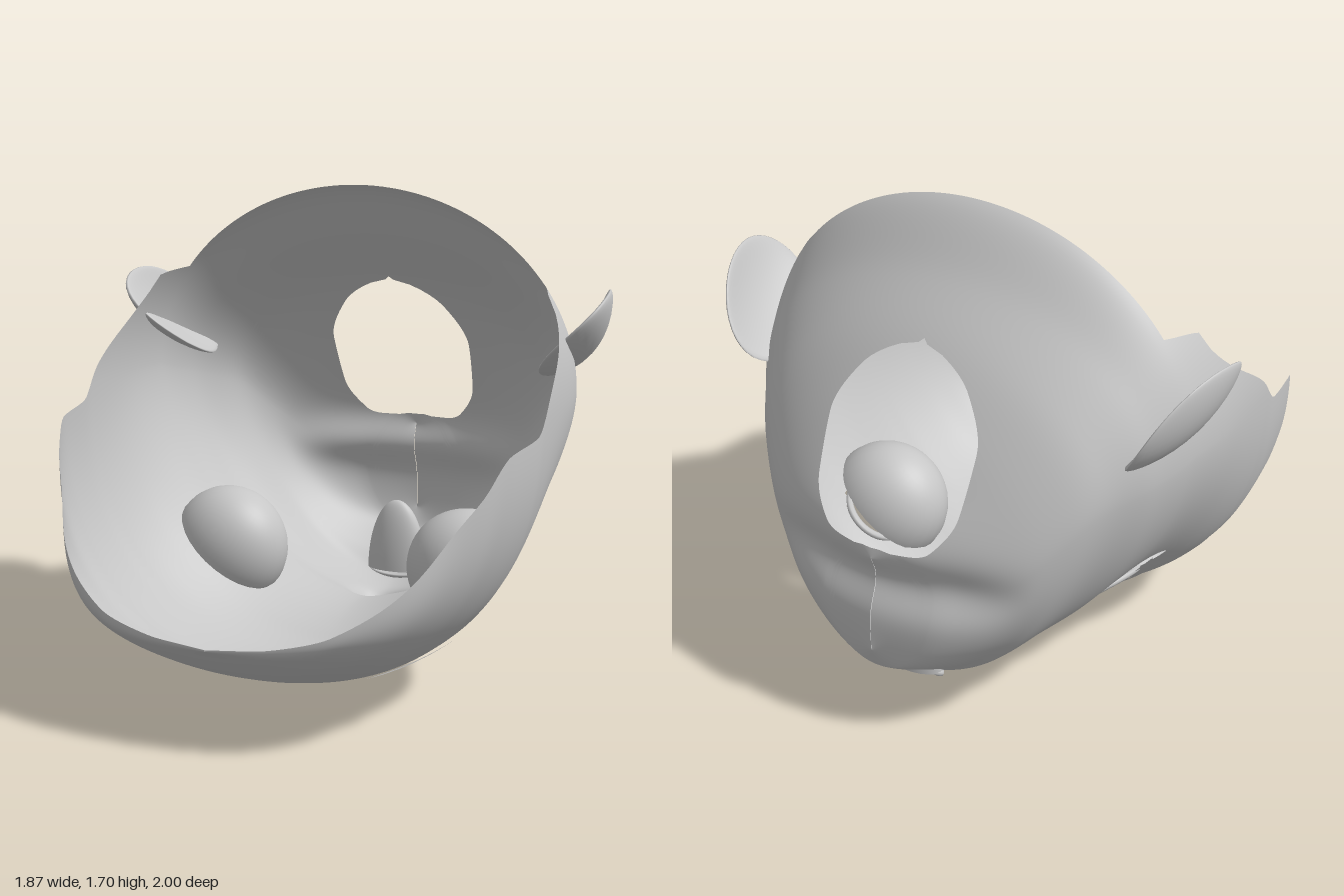
import * as THREE from 'three';

const skin = new THREE.MeshStandardMaterial({ color: 0xc6c6c6, side: THREE.DoubleSide });
skin.name = 'plain grey';

// Smooth profile through knots that run from low z to high z, without overshoot
function profile(...k) {
  const n = k.length - 1;
  const step = (i) => (k[i + 1][1] - k[i][1]) / (k[i + 1][0] - k[i][0]);
  const slope = k.map((_, i) => {
    if (i === 0) return step(0);
    if (i === n) return step(n - 1);
    const a = step(i - 1), b = step(i);
    return a * b <= 0 ? 0 : 2 * a * b / (a + b);
  });
  return (z) => {
    if (z <= k[0][0]) return k[0][1];
    if (z >= k[n][0]) return k[n][1];
    let i = 0;
    while (z > k[i + 1][0]) i++;
    const h = k[i + 1][0] - k[i][0], t = (z - k[i][0]) / h, u = 1 - t;
    return u * u * (1 + 2 * t) * k[i][1] + t * t * (3 - 2 * t) * k[i + 1][1]
      + h * t * u * (u * slope[i] - t * slope[i + 1]);
  };
}
const halfWidth = profile([-1, 0.001], [-0.995, 0.09], [-0.97, 0.22], [-0.87, 0.44], [-0.73, 0.6], [-0.62, 0.68], [-0.5, 0.76],
  [-0.34, 0.82], [-0.16, 0.845], [0.1, 0.85], [0.4, 0.82], [0.52, 0.78], [0.65, 0.7], [0.8, 0.6], [0.94, 0.4], [0.985, 0.2], [1, 0.001]);
const bottom = profile([-1, 0.35], [-0.98, 0.28], [-0.9, 0.23], [-0.8, 0.17], [-0.74, 0.12], [-0.65, 0.1], [-0.52, 0.11],
  [-0.4, 0.14], [-0.3, 0.145], [-0.2, 0.13], [-0.1, 0.1], [0, 0.065], [0.1, 0.05], [0.33, 0.06], [0.6, 0.13], [0.8, 0.22], [1, 0.355]);
const top = profile([-1, 0.7], [-0.985, 0.74], [-0.93, 0.84], [-0.85, 0.98], [-0.77, 1.13], [-0.65, 1.32], [-0.5, 1.5], [-0.335, 1.705], [0, 1.85]);
const rim = profile([-0.34, 1.38], [-0.2, 1.36], [-0.17, 1.29], [0.12, 1.06], [0.23, 0.95], [0.43, 0.93], [0.57, 0.8],
  [0.8, 0.57], [0.94, 0.43], [1, 0.36]);
const backMiddle = profile([-1, 0.52], [-0.95, 0.56], [-0.8, 0.75], [-0.65, 0.9], [-0.34, 1]);
const seam = -0.335;
const middle = (z) => (z < seam ? backMiddle(z) : Math.min(1, rim(z)));
const neckHole = profile([-0.985, 0], [-0.98, 0.07], [-0.94, 0.2], [-0.87, 0.27], [-0.78, 0.28], [-0.7, 0.2], [-0.655, 0.07], [-0.645, 0]);
// Roundness of the face side: full forehead, leaner around eyes and muzzle
const lean = profile([-0.95, 1], [-0.6, 1.18], [-0.3, 1.15], [0.15, 0.9]);

// Point on the head at section z; angle 0 is the face side, PI the back of the head
function point(a, z) {
  z = THREE.MathUtils.clamp(z, -1, 1);
  const s = Math.sin(a), c = Math.cos(a), m = middle(z), p = c > 0 ? lean(z) : 1;
  const x = halfWidth(z) * Math.sign(s) * Math.abs(s) ** p;
  let y = c > 0 ? m - (m - bottom(z)) * c ** p : m - (top(z) - m) * c;
  // Pointed nose
  if (c > 0) y -= 0.11 * Math.exp(-((x / 0.06) ** 2) - ((z + 0.52) / 0.065) ** 2);
  // Hollow between chin and neck edge
  const hollow = THREE.MathUtils.smoothstep(-z, 0.8, 0.97) * Math.exp(-(((y - 0.62) / 0.09) ** 2));
  return new THREE.Vector3(x, y, z + 0.045 * hollow);
}
function normal(a, z) {
  const da = point(a + 0.02, z).sub(point(a - 0.02, z));
  const dz = point(a, Math.min(z + 0.025, 1)).sub(point(a, Math.max(z - 0.025, -1)));
  return da.cross(dz).normalize();
}
// Angle on the +x side where section z reaches height y
const angleAt = (y, z) => {
  const m = middle(z);
  return Math.acos(THREE.MathUtils.clamp((m - y) / (m - bottom(z)), 0, 1) ** (1 / lean(z)));
};
// Section end: the open rim, the closed back or the neck opening
function frontEnd(z) {
  const m = middle(z);
  return Math.PI / 2 + Math.asin(Math.max(0, (rim(z) - m) / (top(z) - m)));
}
const backEnd = (z) => Math.PI - Math.asin(Math.min(0.95, neckHole(z) / halfWidth(z)));

const eyeZ = -0.28, eyeA = angleAt(0.345, eyeZ);
const eyePos = point(eyeA, eyeZ), eyeNormal = normal(eyeA, eyeZ);

function toMesh(name, positions, normals, index) {
  const g = new THREE.BufferGeometry();
  g.setAttribute('position', new THREE.Float32BufferAttribute(positions, 3));
  g.setIndex(index);
  if (normals) g.setAttribute('normal', new THREE.Float32BufferAttribute(normals, 3));
  else g.computeVertexNormals();
  return part(name, g);
}
function part(name, geometry) {
  const mesh = new THREE.Mesh(geometry, skin);
  mesh.name = name;
  return mesh;
}

// Head shell patch, leaving out the eye openings
function shell(name, zAt, endAt, rows = 90, cols = 180) {
  const pos = [], nor = [], idx = [];
  for (let r = 0; r <= rows; r++) {
    const z = zAt(r / rows), end = endAt(z);
    for (let c = 0; c <= cols; c++) {
      const a = end * (2 * c / cols - 1);
      pos.push(...point(a, z));
      nor.push(...normal(a, z));
    }
  }
  for (let r = 0; r < rows; r++) {
    for (let c = 0; c < cols; c++) {
      const i = r * (cols + 1) + c, j = i + cols + 1;
      const d = new THREE.Vector3(Math.abs(pos[3 * i]), pos[3 * i + 1], pos[3 * i + 2]).sub(eyePos);
      if (Math.hypot(Math.hypot(d.x, d.y) / 0.12, d.z / 0.14) < 1) continue;
      idx.push(i, i + 1, j, i + 1, j + 1, j);
    }
  }
  return toMesh(name, pos, nor, idx);
}

// Thin strip laid on the head between two lines of [z, y] points
function strip(name, outer, inner) {
  const curve = (pts) => new THREE.SplineCurve(pts.map((p) => new THREE.Vector2(...p)));
  const lines = [curve(outer), curve(inner)], pos = [], idx = [], n = 14;
  for (let i = 0; i <= n; i++) {
    for (const l of lines) {
      const p = l.getPoint(i / n), a = angleAt(p.y, p.x);
      pos.push(...point(a, p.x).addScaledVector(normal(a, p.x), 0.012));
    }
    if (i < n) idx.push(2 * i, 2 * i + 1, 2 * i + 2, 2 * i + 1, 2 * i + 3, 2 * i + 2);
  }
  return toMesh(name, pos, null, idx);
}

// Eye: a deep cup behind the face, lid ring and iris
function eye() {
  const group = new THREE.Group();
  group.name = 'eye';
  const cup = part('eyeCup', new THREE.SphereGeometry(1, 28, 14, 0, Math.PI * 2, 0, Math.PI / 2));
  cup.scale.set(0.225, 0.23, 0.185);
  cup.position.set(0, 0.01, 0.07);
  const lid = part('eyelid', new THREE.TorusGeometry(1, 0.1, 8, 40).rotateX(Math.PI / 2));
  lid.scale.set(0.122, 0.12, 0.142);
  const iris = part('iris', new THREE.CylinderGeometry(0.085, 0.085, 0.008, 28));
  iris.position.set(0, 0.1, 0);
  const pupil = part('pupil', new THREE.CylinderGeometry(0.04, 0.04, 0.008, 20));
  pupil.position.set(0, 0.09, 0);
  group.add(cup, lid, iris, pupil);
  // Local y points into the head, local z stays along the head
  const y = eyeNormal.clone().negate(), x = new THREE.Vector3().crossVectors(y, new THREE.Vector3(0, 0, 1)).normalize();
  const z = new THREE.Vector3().crossVectors(x, y);
  group.quaternion.setFromRotationMatrix(new THREE.Matrix4().makeBasis(x, y, z));
  group.position.copy(eyePos);
  return group;
}

// Ear: a flattened, cupped oval
function ear() {
  const g = new THREE.SphereGeometry(1, 32, 20), p = g.attributes.position;
  for (let i = 0; i < p.count; i++) {
    const u = p.getX(i), v = p.getY(i), w = p.getZ(i);
    p.setXYZ(i, u * 0.25, v * 0.185, w * 0.03 + 0.03 - 0.07 * (u * u * 0.5 + v * v));
  }
  g.computeVertexNormals();
  const mesh = part('ear', g);
  const n = new THREE.Vector3(0.79, -0.61, 0).normalize(), u = new THREE.Vector3(0.37, 0.48, 0.8).normalize();
  const v = new THREE.Vector3().crossVectors(n, u).normalize();
  mesh.quaternion.setFromRotationMatrix(new THREE.Matrix4().makeBasis(u, v, n));
  mesh.position.set(0.815, 1.18, -0.42);
  return mesh;
}

export function createModel() {
  const model = new THREE.Group();
  model.name = 'hollowHead';
  model.add(
    shell('headFront', (t) => seam - 0.003 + (1.003 - seam) * Math.sin(t * Math.PI / 2), frontEnd),
    shell('headBack', (t) => seam - (1 + seam) * Math.cos(t * Math.PI / 2), backEnd),
  );

  for (const side of [1, -1]) {
    const half = new THREE.Group();
    half.name = side > 0 ? 'leftFeatures' : 'rightFeatures';
    half.add(eye(), ear(),
      strip('eyebrow', [[0.24, 0.25], [0.23, 0.19], [0.27, 0.13], [0.35, 0.1]], [[0.24, 0.25], [0.26, 0.19], [0.3, 0.14], [0.35, 0.1]]),
      strip('eyelashes', [[-0.08, 0.23], [-0.1, 0.33], [-0.18, 0.42], [-0.28, 0.53]], [[-0.1, 0.23], [-0.14, 0.33], [-0.21, 0.42], [-0.29, 0.46]]));
    half.scale.x = side;
    model.add(half);
  }

  // Mouth pocket inside and lips outside
  const pocket = part('mouthPocket', new THREE.SphereGeometry(1, 24, 14, 0, Math.PI * 2, 0, Math.PI / 2));
  pocket.scale.set(0.12, 0.28, 0.06);
  pocket.position.set(0, 0.15, -0.76);
  const lips = part('lips', new THREE.TorusGeometry(0.11, 0.014, 8, 32).rotateX(Math.PI / 2));
  lips.scale.z = 0.35;
  lips.position.set(0, 0.145, -0.765);
  lips.rotation.x = 0.7;
  model.add(pocket, lips);
  return model;
}
